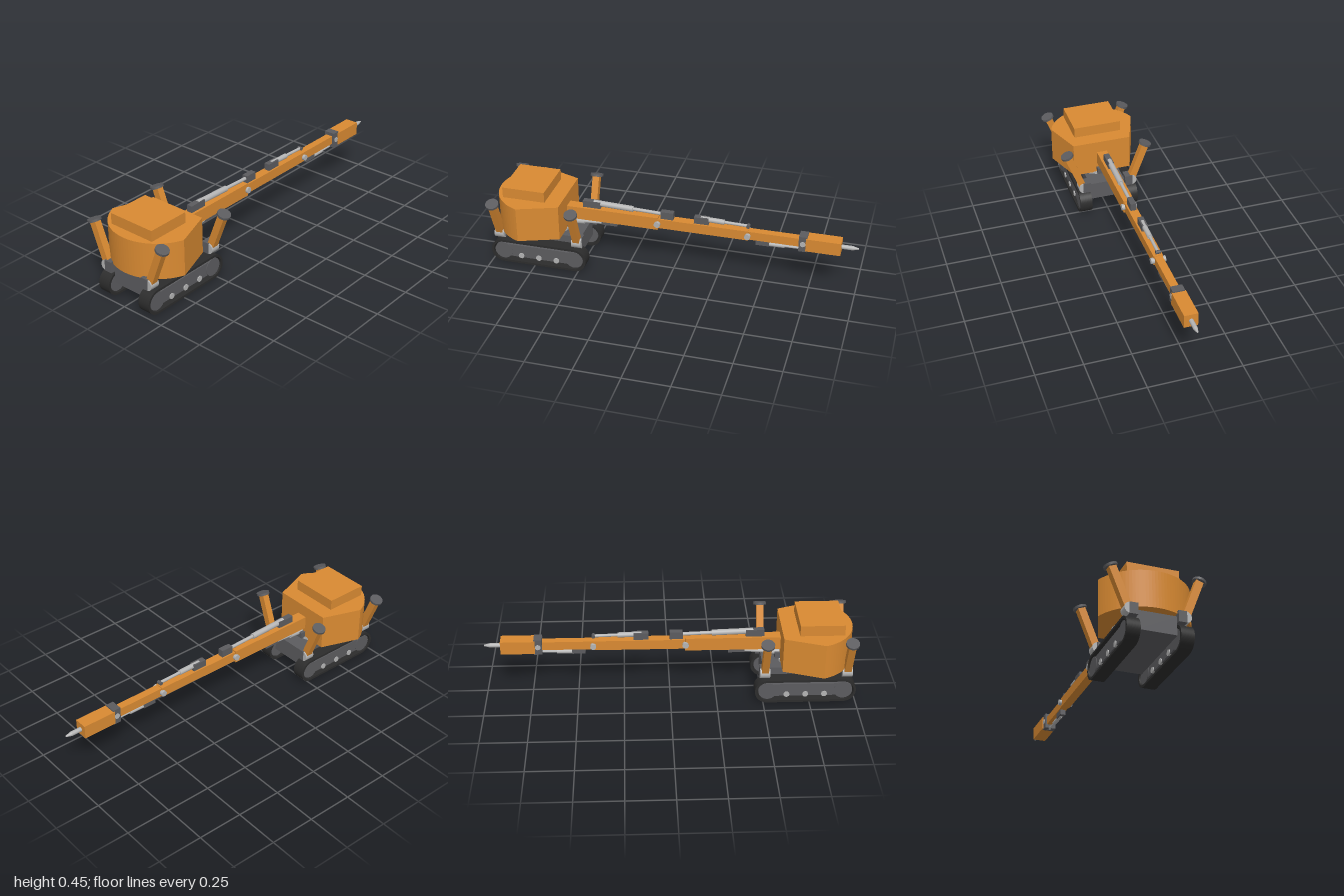
import * as THREE from 'three';

const paint = (color) => new THREE.MeshStandardMaterial({ color });
const ORANGE = paint(0xd98a32), DARK = paint(0x5c5c5f), RUBBER = paint(0x2c2c2c), STEEL = paint(0xb4b4b4);
const V = (x, y, z) => new THREE.Vector3(x, y, z);

export function createModel() {
  const model = new THREE.Group();
  model.name = 'drillingMachine';

  const add = (name, geometry, material) => {
    const mesh = new THREE.Mesh(geometry, material);
    mesh.name = name;
    model.add(mesh);
    return mesh;
  };
  // Box given by its lower and upper corners
  const box = (name, a, b, material) => {
    const mesh = add(name, new THREE.BoxGeometry(b[0] - a[0], b[1] - a[1], b[2] - a[2]), material);
    mesh.position.set((a[0] + b[0]) / 2, (a[1] + b[1]) / 2, (a[2] + b[2]) / 2);
    return mesh;
  };
  // Cylinder between two points
  const rod = (name, a, b, r, material, r2 = r) => {
    const mesh = add(name, new THREE.CylinderGeometry(r2, r, a.distanceTo(b), 24), material);
    mesh.position.copy(a).lerp(b, 0.5);
    mesh.quaternion.setFromUnitVectors(V(0, 1, 0), b.clone().sub(a).normalize());
    return mesh;
  };
  // Rounded track outline around the wheel centres
  const stadium = (x0, x1, y, r, target = new THREE.Shape()) => {
    target.moveTo(x0, y - r);
    target.lineTo(x1, y - r);
    target.absarc(x1, y, r, -Math.PI / 2, Math.PI / 2, false);
    target.lineTo(x0, y + r);
    target.absarc(x0, y, r, Math.PI / 2, Math.PI * 1.5, false);
    return target;
  };
  const extrude = (shape, depth) => new THREE.ExtrudeGeometry(shape, { depth, bevelEnabled: false, curveSegments: 20 });

  // Undercarriage
  box('chassis', [-0.955, 0.078, -0.103], [-0.5, 0.18, 0.103], DARK);
  rod('turntable', V(-0.728, 0.175, 0), V(-0.728, 0.195, 0), 0.14, STEEL);

  for (const s of [1, -1]) {
    const side = s > 0 ? 'left' : 'right';
    const belt = stadium(-0.932, -0.523, 0.069, 0.069);
    belt.holes.push(stadium(-0.932, -0.523, 0.069, 0.056, new THREE.Path()));
    add(side + 'TrackBelt', extrude(belt, 0.07), RUBBER).position.z = s * 0.137 - 0.035;
    add(side + 'TrackFrame', extrude(stadium(-0.932, -0.523, 0.073, 0.037), 0.052), DARK).position.z = s * 0.137 - 0.026;
    // Wheels and small rollers
    for (const x of [-0.932, -0.523])
      rod(side + 'TrackWheel', V(x, 0.069, s * 0.137 - 0.029), V(x, 0.069, s * 0.137 + 0.029), 0.05, DARK);
    for (const x of [-0.83, -0.728, -0.626])
      rod(side + 'TrackRoller', V(x, 0.047, s * 0.137 - 0.031), V(x, 0.047, s * 0.137 + 0.031), 0.016, STEEL);

    // Raised outriggers with their hinges and foot pads
    for (const x of [-0.95, -0.506]) {
      box(side + 'LegBracket', [x - 0.028, 0.143, s * 0.125 - 0.022], [x + 0.028, 0.204, s * 0.125 + 0.022], DARK);
      rod(side + 'LegHinge', V(x - 0.027, 0.173, s * 0.142), V(x + 0.027, 0.173, s * 0.142), 0.03, STEEL);
      const leg = box(side + 'Leg', [-0.019, -0.112, -0.02], [0.019, 0.112, 0.02], ORANGE);
      leg.position.set(x, 0.285, s * 0.187);
      leg.rotation.x = s * 0.365;
      rod(side + 'FootPad', V(x, 0.388, s * 0.228), V(x, 0.4, s * 0.2326), 0.036, DARK);
    }
  }

  // Upper body: arc at the back, tapering to the boom
  const plan = new THREE.Shape();
  const a = Math.atan2(0.243, -0.087);
  plan.moveTo(-0.598, -0.167);
  plan.lineTo(-0.598, 0.167);
  plan.lineTo(-0.812, 0.243);
  plan.absarc(-0.725, 0, 0.258, a, 2 * Math.PI - a, false);
  plan.closePath();
  const body = add('upperBody', extrude(plan, 0.2), ORANGE);
  body.rotation.x = -Math.PI / 2;
  body.position.y = 0.192;
  box('roofCover', [-0.924, 0.39, -0.137], [-0.686, 0.452, 0.137], ORANGE);

  // Boom sections, from the body outwards
  box('boomBase', [-0.62, 0.252, -0.03], [-0.083, 0.325, 0.03], ORANGE);
  box('boomMiddle', [-0.09, 0.261, -0.025], [0.415, 0.316, 0.025], ORANGE);
  box('boomEnd', [0.405, 0.265, -0.021], [0.7, 0.313, 0.021], ORANGE);
  box('toolCollar', [0.687, 0.243, -0.032], [0.731, 0.332, 0.032], DARK);
  box('toolHousing', [0.725, 0.251, -0.037], [0.91, 0.325, 0.037], ORANGE);
  for (const [x, r, w] of [[-0.085, 0.017, 0.042], [0.412, 0.016, 0.04], [0.709, 0.015, 0.035]])
    rod('boomPin', V(x, 0.288, -w), V(x, 0.288, w), r, STEEL);
  rod('toolShaft', V(0.9, 0.288, 0), V(0.968, 0.288, 0), 0.012, STEEL);
  rod('toolTip', V(0.968, 0.288, 0), V(1, 0.288, 0), 0.012, STEEL, 0.004);

  // Hydraulic cylinders: a thick barrel and a thin piston
  const hydraulic = (name, from, to, split, r) => {
    const mid = from.clone().lerp(to, split);
    rod(name + 'Barrel', from, mid, r, STEEL);
    rod(name + 'Piston', mid, to, r * 0.6, STEEL);
    rod(name + 'Eye', to.clone().add(V(0, 0, -0.013)), to.clone().add(V(0, 0, 0.013)), r * 0.7, DARK);
  };
  hydraulic('liftCylinder', V(-0.6, 0.219, 0), V(-0.34, 0.237, 0), 0.35, 0.016);
  hydraulic('upperCylinder', V(-0.45, 0.352, 0), V(-0.03, 0.338, 0), 0.53, 0.016);
  hydraulic('middleCylinder', V(0.15, 0.343, 0), V(0.41, 0.336, 0), 0.5, 0.014);
  hydraulic('toolCylinder', V(0.485, 0.242, 0), V(0.712, 0.245, 0), 0.55, 0.012);

  // Cylinder mounts
  box('liftMount', [-0.62, 0.192, -0.033], [-0.57, 0.227, 0.033], DARK);
  box('boomMount', [-0.405, 0.228, -0.017], [-0.317, 0.255, 0.017], DARK);
  box('upperRearMount', [-0.51, 0.322, -0.016], [-0.41, 0.363, 0.016], DARK);
  box('upperFrontMount', [-0.07, 0.313, -0.016], [0, 0.358, 0.016], DARK);
  box('middleMount', [0.115, 0.313, -0.016], [0.195, 0.354, 0.016], DARK);
  box('toolMount', [0.455, 0.235, -0.015], [0.527, 0.267, 0.015], DARK);

  return model;
}
